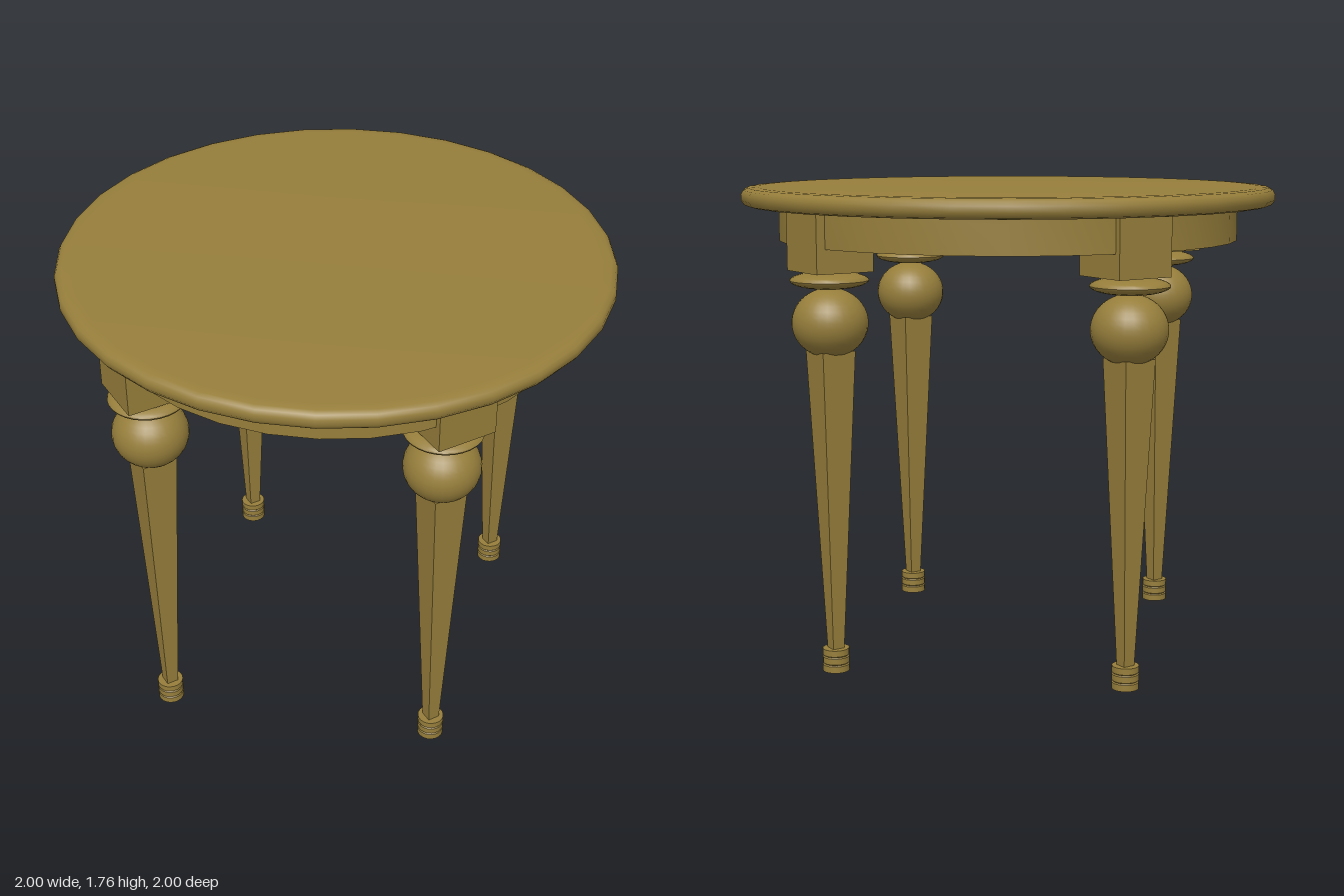
import * as THREE from 'three';
import { toCreasedNormals } from 'three/addons/utils/BufferGeometryUtils.js';

const wood = new THREE.MeshStandardMaterial({ color: 0x967e3b });
wood.name = 'wood';

function part(name, geometry, x = 0, y = 0, z = 0) {
  const mesh = new THREE.Mesh(geometry, wood);
  mesh.name = name;
  mesh.position.set(x, y, z);
  return mesh;
}

// Turned shape from [radius, height] pairs, listed bottom to top
function turned(points, sides, crease = 0.9) {
  const profile = points.map(([r, y]) => new THREE.Vector2(r, y));
  return toCreasedNormals(new THREE.LatheGeometry(profile, sides), crease);
}

// Half-ellipse profile between two angles, in [radius, height] pairs
function bulge(rx, ry, cy, from, to, steps) {
  return Array.from({ length: steps + 1 }, (_, i) => {
    const a = from + (to - from) * i / steps;
    return [rx * Math.cos(a), cy + ry * Math.sin(a)];
  });
}

export function createModel() {
  const table = new THREE.Group();
  table.name = 'roundTable';

  // Round top with a softened rim
  table.add(part('tableTop', turned([
    [0, 1.687], [0.965, 1.687], [0.988, 1.693], [1, 1.71], [1, 1.732],
    [0.992, 1.747], [0.975, 1.755], [0.94, 1.757], [0, 1.757],
  ], 32)));

  // Solid apron disc under the top
  table.add(part('apron', turned([[0, 1.56], [0.863, 1.56], [0.863, 1.69], [0, 1.69]], 32)));

  // Shared leg geometry
  const blockGeo = new THREE.BoxGeometry(0.225, 0.217, 0.225);
  const collarGeo = turned([[0, 1.409], ...bulge(0.141, 0.032, 1.442, -1.1, 1.1, 10), [0, 1.475]], 28);
  const ballGeo = turned([[0, 1.18], ...bulge(0.137, 0.125, 1.29, -1.06, Math.PI / 2, 16)], 28);
  const shaftGeo = new THREE.CylinderGeometry(0.092, 0.031, 1.12, 4).toNonIndexed();
  shaftGeo.computeVertexNormals();
  const footGeo = turned([
    [0, 0], [0.049, 0], [0.049, 0.024], [0.045, 0.028], [0.049, 0.032],
    [0.049, 0.054], [0.045, 0.058], [0.049, 0.062], [0.049, 0.085], [0, 0.085],
  ], 20, 0.5);

  // Leg axis x, z and block centre x, z
  const legs = [
    ['frontLeftLeg', 0.517, 0.529, 0.536, 0.541],
    ['frontRightLeg', -0.515, 0.602, -0.518, 0.614],
    ['backLeftLeg', 0.537, -0.564, 0.536, -0.555],
    ['backRightLeg', -0.536, -0.564, -0.518, -0.555],
  ];
  for (const [name, x, z, bx, bz] of legs) {
    const leg = new THREE.Group();
    leg.name = name;
    const block = part('cornerBlock', blockGeo, bx, 1.5815, bz);
    block.rotation.y = Math.PI / 4;
    leg.add(
      block,
      part('collar', collarGeo, x, 0, z),
      part('ball', ballGeo, x, 0, z),
      part('taperedShaft', shaftGeo, x, 0.63, z),
      part('foot', footGeo, x, 0, z),
    );
    table.add(leg);
  }
  return table;
}
